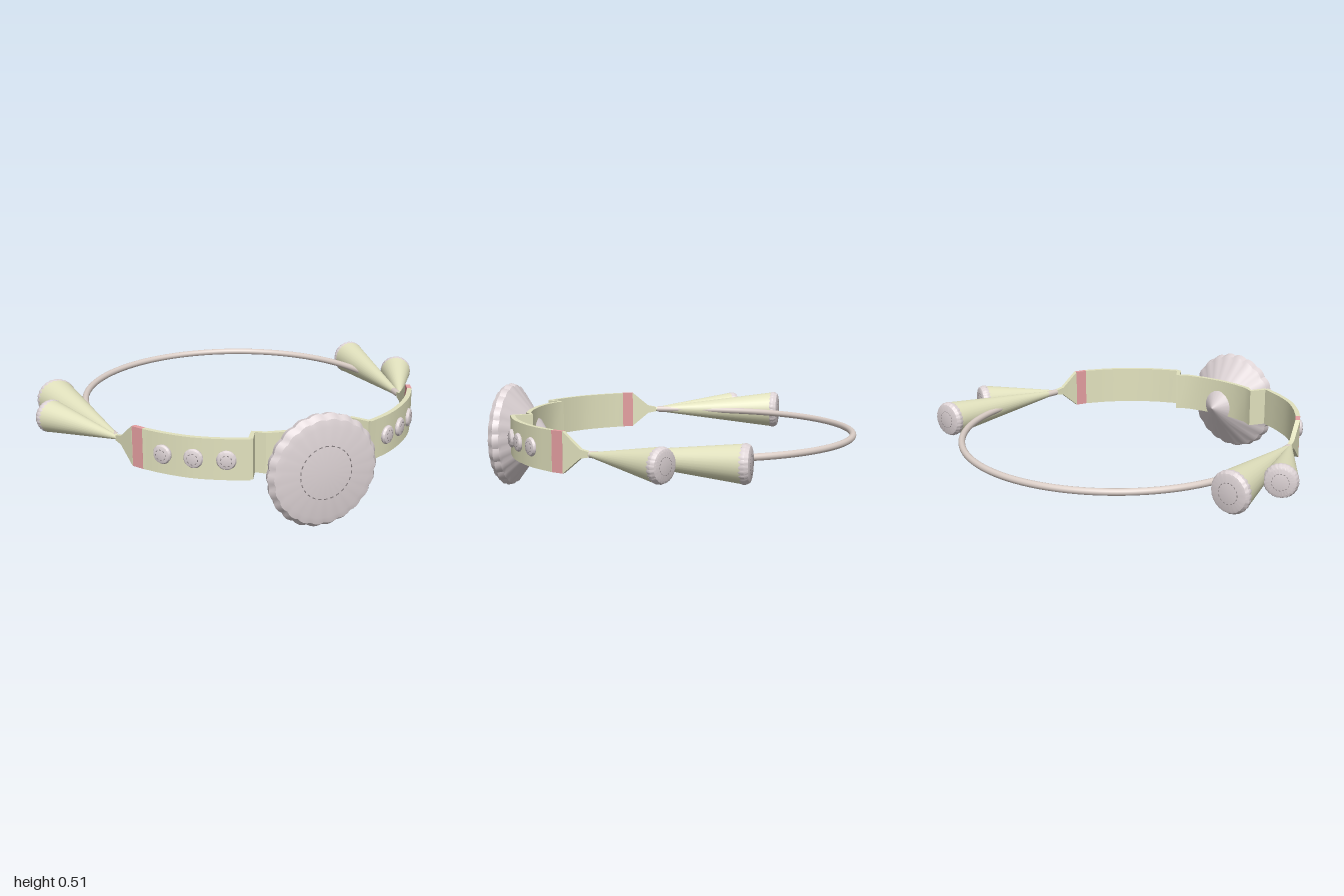
import * as THREE from 'three';
import { toCreasedNormals } from 'three/addons/utils/BufferGeometryUtils.js';

const mat = (color) => new THREE.MeshStandardMaterial({ color });
const V = (x, y, z) => new THREE.Vector3(x, y, z);
const Y0 = 0.31; // height of the band's centre line
const UP = V(0, 1, 0);

// Upright strip along a plan path of [x, z, halfHeight], running from -x to +x
function ribbon(path, smooth, name, material) {
  let pts = path.map(([x, z, h]) => V(x, h, z));
  if (smooth) pts = new THREE.CatmullRomCurve3(pts).getPoints(smooth);
  const pos = [], idx = [], half = 0.011, last = pts.length - 1;
  pts.forEach((p, i) => {
    const t = pts[Math.min(i + 1, last)].clone().sub(pts[Math.max(i - 1, 0)]).setY(0).normalize();
    for (const [s, v] of [[1, -1], [1, 1], [-1, 1], [-1, -1]]) {
      pos.push(p.x - t.z * half * s, Y0 + p.y * v, p.z + t.x * half * s);
    }
    if (i === last) return;
    for (let k = 0; k < 4; k++) {
      const a = i * 4 + k, d = i * 4 + (k + 1) % 4;
      idx.push(a, a + 4, d + 4, a, d + 4, d);
    }
  });
  const e = last * 4;
  idx.push(0, 1, 2, 0, 2, 3, e, e + 2, e + 1, e, e + 3, e + 2);
  const g = new THREE.BufferGeometry();
  g.setAttribute('position', new THREE.Float32BufferAttribute(pos, 3));
  g.setIndex(idx);
  const mesh = new THREE.Mesh(toCreasedNormals(g, 0.5), material);
  mesh.name = name;
  return mesh;
}

// Turned disc facing +y, with a scalloped rim and a ring of small dashes on its face
function scallopedDisc(profile, lobes, depth, dashR, dashes, name, material, dark) {
  const group = new THREE.Group();
  group.name = name;
  const rMax = Math.max(...profile.map((p) => p[0]));
  const g = new THREE.LatheGeometry(profile.map(([r, y]) => new THREE.Vector2(r, y)), lobes * 4);
  const p = g.attributes.position;
  for (let i = 0; i < p.count; i++) {
    const r = Math.hypot(p.getX(i), p.getZ(i));
    if (r < rMax * 0.9) continue;
    const a = Math.atan2(p.getZ(i), p.getX(i));
    const k = 1 - depth * (1 - Math.abs(Math.cos(a * lobes / 2)));
    p.setX(i, p.getX(i) * k);
    p.setZ(i, p.getZ(i) * k);
  }
  group.add(new THREE.Mesh(toCreasedNormals(g, 0.45), material));
  const top = profile[profile.length - 1][1];
  const size = dashR * Math.PI / dashes;
  for (let i = 0; i < dashes; i++) {
    const a = i / dashes * Math.PI * 2;
    const dash = new THREE.Mesh(new THREE.BoxGeometry(size, 0.002, size * 0.3), dark);
    dash.name = 'faceDash';
    dash.position.set(Math.sin(a) * dashR, top, Math.cos(a) * dashR);
    dash.rotation.y = a;
    group.add(dash);
  }
  return group;
}

export function createModel() {
  const model = new THREE.Group();
  const cream = mat(0xe2e2be), pink = mat(0xe6a0a2), pale = mat(0xded4d6);
  const wire = mat(0xdccfc8), dark = mat(0x8a8284);
  const H = 0.093;

  // Band: two arms, each with a stripe and a taper, and a folded centre piece
  model.add(
    ribbon([[-0.722, 0.25, 0.012], [-0.71, 0.29, 0.02], [-0.685, 0.375, H]], 0, 'rightTaper', cream),
    ribbon([[-0.685, 0.375, H], [-0.655, 0.425, H]], 0, 'rightStripe', pink),
    ribbon([[-0.655, 0.425, H], [-0.59, 0.51, H], [-0.5, 0.6, H], [-0.4, 0.665, H], [-0.28, 0.722, H]],
      20, 'rightArm', cream),
    ribbon([[-0.28, 0.722, H], [-0.235, 0.645, H], [-0.19, 0.677, H], [-0.1, 0.695, H], [0, 0.702, H],
      [0.1, 0.695, H], [0.19, 0.677, H], [0.24, 0.645, H], [0.29, 0.722, H]], 0, 'centreBand', cream),
    ribbon([[0.29, 0.722, H], [0.41, 0.665, H], [0.51, 0.595, H], [0.61, 0.5, H], [0.69, 0.39, H]],
      20, 'leftArm', cream),
    ribbon([[0.69, 0.39, H], [0.712, 0.335, H]], 0, 'leftStripe', pink),
    ribbon([[0.712, 0.335, H], [0.733, 0.25, 0.02], [0.742, 0.21, 0.012]], 0, 'leftTaper', cream),
  );

  // Thin hoop round the back
  const hoop = [V(-0.722, Y0, 0.24), V(-0.738, Y0, 0.06)];
  for (let i = 0; i <= 16; i++) {
    const a = Math.PI * i / 16;
    hoop.push(V(0.008 - 0.75 * Math.cos(a), Y0, -0.125 - 0.748 * Math.sin(a)));
  }
  hoop.push(V(0.756, Y0, 0.06), V(0.742, Y0, 0.21));
  const ring = new THREE.Mesh(new THREE.TubeGeometry(new THREE.CatmullRomCurve3(hoop), 120, 0.016, 12), wire);
  ring.name = 'backHoop';
  model.add(ring);

  // Large front disc with a conical back
  const disc = scallopedDisc([[0, 0.63], [0.12, 0.716], [0.234, 0.803], [0.25, 0.815], [0.258, 0.845],
    [0.238, 0.872], [0.205, 0.88], [0, 0.88]], 22, 0.03, 0.12, 26, 'frontDisc', pale, dark);
  disc.rotation.x = Math.PI / 2;
  disc.position.y = 0.262;
  model.add(disc);

  // Three buttons on each arm: x, z, facing
  for (const [x, z, nx, nz] of [[-0.605, 0.522, -0.76, 0.65], [-0.5, 0.62, -0.62, 0.78], [-0.378, 0.693, -0.45, 0.89],
    [0.402, 0.686, 0.48, 0.88], [0.505, 0.617, 0.62, 0.78], [0.608, 0.52, 0.74, 0.67]]) {
    const b = scallopedDisc([[0, -0.016], [0.04, -0.016], [0.044, 0.002], [0.038, 0.011], [0.026, 0.015], [0, 0.015]],
      10, 0.02, 0.024, 8, 'button', pale, dark);
    b.position.set(x, Y0, z);
    b.quaternion.setFromUnitVectors(UP, V(nx, 0, nz).normalize());
    model.add(b);
  }

  // Rear horns, each with a rimmed end cap: apex, end, cap facing, radius
  for (const [ax, az, ex, ez, nx, nz, r] of [
    [-0.72, 0.26, -0.84, -0.385, -0.01, -1, 0.094], [-0.72, 0.26, -0.925, -0.14, -0.42, -0.91, 0.076],
    [0.74, 0.22, 0.825, -0.465, 0.01, -1, 0.083], [0.74, 0.22, 0.925, -0.135, 0.45, -0.89, 0.076]]) {
    const n = V(nx, 0, nz).normalize();
    const side = n.clone().cross(UP);
    const g = new THREE.CylinderGeometry(1, 0.1, 1, 32).translate(0, 0.5, 0);
    g.applyMatrix4(new THREE.Matrix4().makeBasis(
      side.multiplyScalar(r), V(ex - ax, 0, ez - az), V(0, r, 0)).setPosition(ax, Y0, az));
    const horn = new THREE.Mesh(g, cream);
    horn.name = 'horn';
    const cap = scallopedDisc([[0, -0.012], [r * 0.96, -0.012], [r * 1.03, 0.004], [r * 1.03, 0.016],
      [r * 0.93, 0.032], [r * 0.8, 0.036], [0, 0.036]], 24, 0.025, r * 0.5, 16, 'hornCap', pale, dark);
    cap.position.set(ex, Y0, ez);
    cap.quaternion.setFromUnitVectors(UP, n);
    model.add(horn, cap);
  }
  return model;
}
